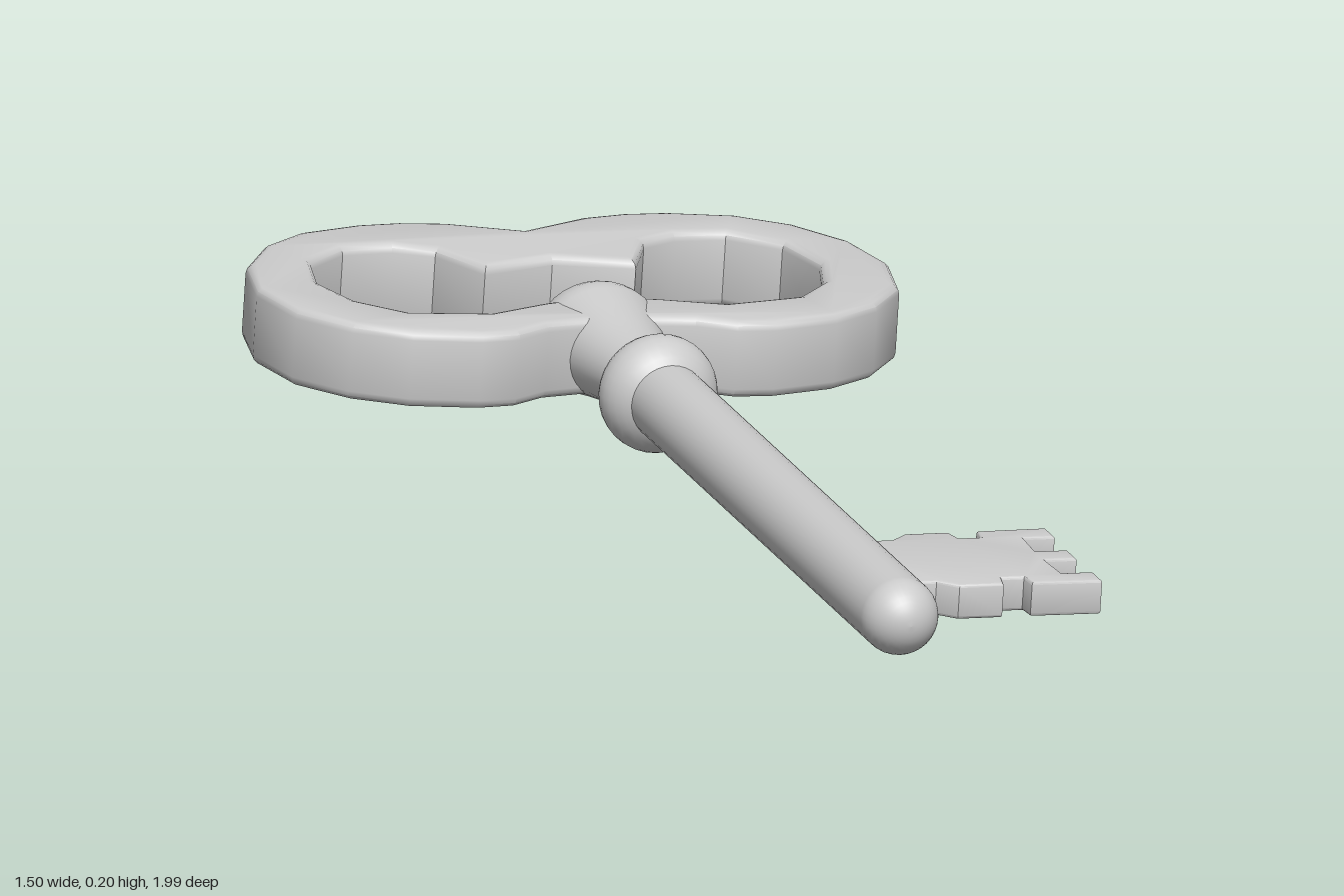
import * as THREE from 'three';
import { toCreasedNormals } from 'three/addons/utils/BufferGeometryUtils.js';

const material = new THREE.MeshStandardMaterial({ color: 0xcccccc, roughness: 0.6 });

const vectors = (pairs) => pairs.map(([x, y]) => new THREE.Vector2(x, y));

function addMesh(parent, name, geometry) {
  const mesh = new THREE.Mesh(geometry, material);
  mesh.name = name;
  parent.add(mesh);
  return mesh;
}

// Closed outline from its right half, mirrored in x; first and last points lie on the axis.
const mirrorX = (half) => vectors([...half, ...half.slice(1, -1).reverse().map(([x, y]) => [-x, y])]);

// Flat plate lying in the xz plane, centred on y = 0, with rounded edges.
function plate(shape, thickness, bevel) {
  const depth = thickness - 2 * bevel;
  const geometry = new THREE.ExtrudeGeometry(shape, {
    depth, bevelThickness: bevel, bevelSize: bevel, bevelOffset: -bevel, bevelSegments: 3,
  });
  geometry.translate(0, 0, -depth / 2);
  geometry.rotateX(Math.PI / 2);
  return toCreasedNormals(geometry, 0.6);
}

// Turned part along z from [radius, z] pairs.
function turned(profile) {
  return new THREE.LatheGeometry(vectors(profile), 32).rotateX(Math.PI / 2);
}

// Quarter-ellipse style arc of [radius, z] pairs between two angles.
function arc(radius, length, z, from, to, steps = 10) {
  return Array.from({ length: steps + 1 }, (_, i) => {
    const a = from + ((to - from) * i) / steps;
    return [Math.max(0, radius * Math.cos(a)), z + length * Math.sin(a)];
  });
}

export function createModel() {
  const model = new THREE.Group();
  model.name = 'key';
  const tilt = new THREE.Group();
  tilt.name = 'tiltedKey';
  tilt.position.y = 0.097;
  tilt.rotation.z = -0.06;
  model.add(tilt);

  // Key frame: shank along +z, bit towards +x, origin at the collar
  const key = new THREE.Group();
  key.name = 'keyBody';
  key.position.set(-0.05, 0, -0.18);
  key.rotation.y = 0.42;
  tilt.add(key);

  // Two-lobed bow with its pointed opening
  const bow = new THREE.Shape(mirrorX([
    [0, -0.693], [0.115, -0.747], [0.19, -0.76], [0.262, -0.757], [0.37, -0.728], [0.45, -0.667],
    [0.513, -0.567], [0.537, -0.44], [0.512, -0.315], [0.445, -0.228], [0.36, -0.175],
    [0.25, -0.15], [0.185, -0.155], [0.125, -0.19], [0, -0.21],
  ]));
  bow.holes.push(new THREE.Path(mirrorX([
    [0, -0.544], [0.128, -0.503], [0.177, -0.609], [0.24, -0.64], [0.325, -0.636], [0.4, -0.572],
    [0.425, -0.46], [0.395, -0.357], [0.33, -0.287], [0.2, -0.265], [0.1, -0.305], [0, -0.33],
  ])));
  addMesh(key, 'bow', plate(bow, 0.13, 0.016));

  // Neck swelling into a rounded end inside the bow
  const neck = addMesh(key, 'neck', turned([
    ...arc(0.104, 0.09, -0.3, -Math.PI / 2, 0.2),
    [0.092, -0.24], [0.078, -0.17], [0.068, -0.1], [0.064, 0],
  ]));
  neck.scale.y = 0.9;

  // Collar
  addMesh(key, 'collar', turned(arc(0.098, 0.075, 0, -Math.PI / 2, Math.PI / 2, 18)));

  // Shank with a domed tip
  addMesh(key, 'shank', turned([[0.064, 0], ...arc(0.064, 0.064, 1.216, 0, Math.PI / 2)]));

  // Toothed bit, symmetric about its own middle line
  const middle = 1.008;
  const half = [
    [0, 0.895], [0.095, 0.895], [0.125, 0.867], [0.2, 0.867], [0.207, 0.9], [0.245, 0.9],
    [0.248, 0.867], [0.366, 0.865], [0.366, 0.911], [0.313, 0.911], [0.309, 0.985], [0.363, 0.985],
  ];
  const outline = [...half, ...half.slice().reverse().map(([x, z]) => [x, 2 * middle - z])];
  const bit = addMesh(key, 'bit', plate(new THREE.Shape(vectors(outline)), 0.058, 0.005));
  bit.position.y = -0.004;

  return model;
}
